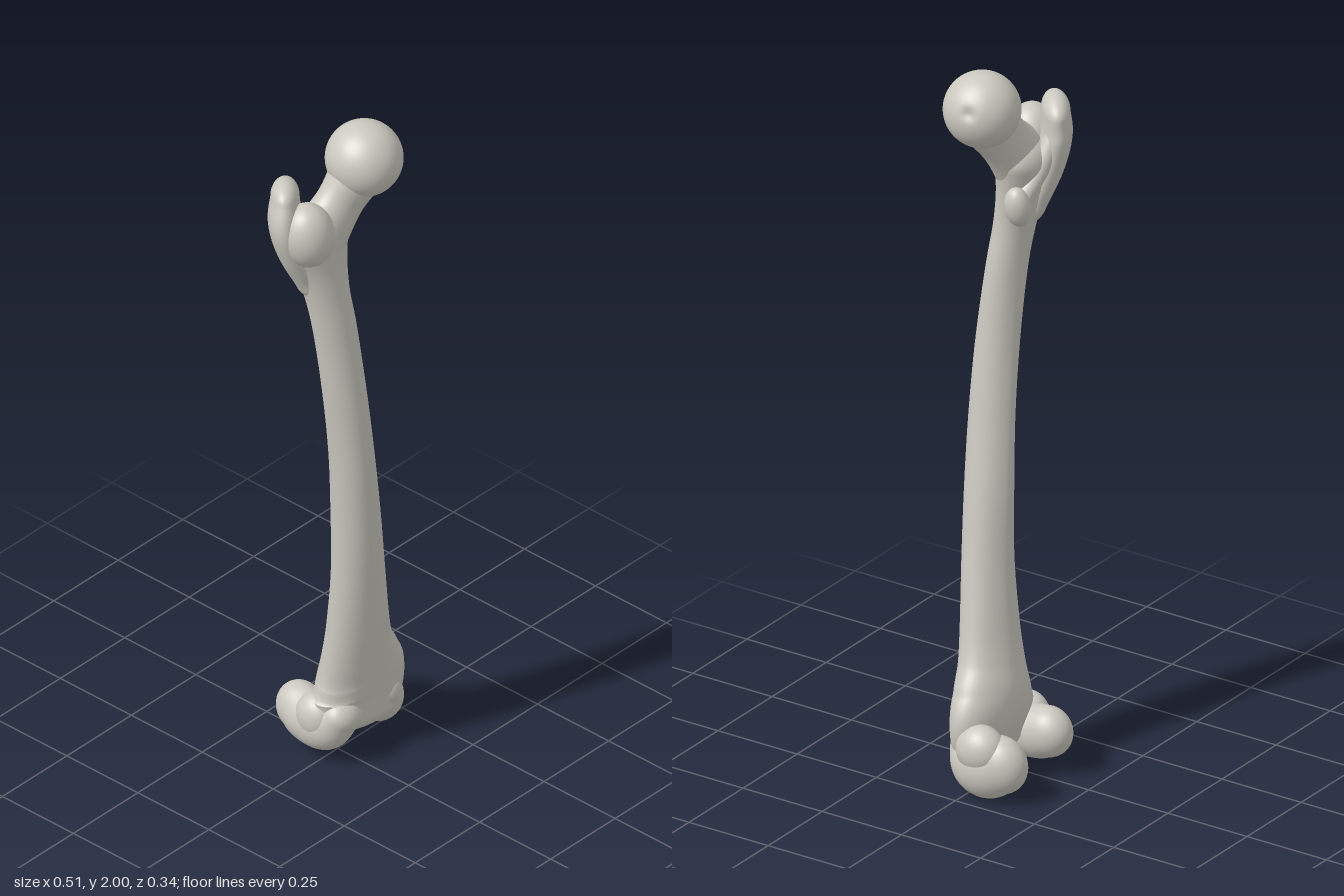
import * as THREE from 'three';

const bone = new THREE.MeshStandardMaterial({ color: 0xcbc9c0 });
bone.name = 'bone';

const V = (x, y, z) => new THREE.Vector3(x, y, z);

// Smooth closed loft. Each section is [x, y, z, a, b]: centre, half-width
// along `side`, and half-width across it. Ends are rounded by cap lengths.
function loft(name, sections, side, capStart, capEnd, bulge = () => 1) {
  const centres = new THREE.CatmullRomCurve3(
    sections.map(s => V(s[0], s[1], s[2])), false, 'catmullrom');
  const radii = new THREE.CatmullRomCurve3(
    sections.map(s => V(s[3], s[4], 0)), false, 'catmullrom');
  const steps = (sections.length - 1) * 8, seg = 48, capSteps = 10;

  const rings = [];
  for (let k = 0; k < capSteps; k++) {
    const p = k / capSteps * Math.PI / 2;
    rings.push([0, -capStart * Math.cos(p), Math.sin(p)]);
  }
  for (let i = 0; i <= steps; i++) rings.push([i / steps, 0, 1]);
  for (let k = capSteps - 1; k >= 0; k--) {
    const p = k / capSteps * Math.PI / 2;
    rings.push([1, capEnd * Math.cos(p), Math.sin(p)]);
  }

  const pos = [], idx = [];
  rings.forEach(([t, shift, scale], i) => {
    const dir = centres.getTangent(t);
    const c = centres.getPoint(t).addScaledVector(dir, shift);
    const r = radii.getPoint(t);
    const u = side.clone().addScaledVector(dir, -side.dot(dir)).normalize();
    const v = dir.clone().cross(u);
    for (let j = 0; j < seg; j++) {
      const a = j / seg * Math.PI * 2, m = scale * bulge(a, t);
      const p = c.clone()
        .addScaledVector(u, r.x * Math.cos(a) * m)
        .addScaledVector(v, r.y * Math.sin(a) * m);
      pos.push(p.x, p.y, p.z);
      if (i === rings.length - 1) continue;
      const p0 = i * seg + j, p1 = i * seg + (j + 1) % seg;
      idx.push(p0, p1, p0 + seg, p1, p1 + seg, p0 + seg);
    }
  });
  const geo = new THREE.BufferGeometry();
  geo.setAttribute('position', new THREE.Float32BufferAttribute(pos, 3));
  geo.setIndex(idx);
  geo.computeVertexNormals();
  const mesh = new THREE.Mesh(geo, bone);
  mesh.name = name;
  return mesh;
}

// Rounded bony bump
function bump(name, centre, radii, tilt = 0) {
  const mesh = new THREE.Mesh(new THREE.SphereGeometry(1, 36, 24), bone);
  mesh.name = name;
  mesh.position.set(...centre);
  mesh.scale.set(...radii);
  mesh.rotation.z = tilt;
  return mesh;
}

// Ball head with a small pit on its inner side
function makeHead() {
  const geo = new THREE.SphereGeometry(0.103, 64, 48);
  const pit = V(0.95, 0.25, -0.2);
  const pos = geo.attributes.position, p = V(0, 0, 0);
  for (let i = 0; i < pos.count; i++) {
    p.fromBufferAttribute(pos, i);
    const angle = p.angleTo(pit);
    p.multiplyScalar(1 - 0.1 * Math.exp(-Math.pow(angle / 0.16, 2)));
    pos.setXYZ(i, p.x, p.y, p.z);
  }
  geo.computeVertexNormals();
  const mesh = new THREE.Mesh(geo, bone);
  mesh.name = 'head';
  mesh.position.set(0.03, 1.897, 0.066);
  return mesh;
}

export function createModel() {
  const group = new THREE.Group();
  group.name = 'thighBone';
  const sideX = V(1, 0, 0), sideZ = V(0, 0, 1);

  // Shaft outline: height, right and left x, back and front z
  const outline = [
    [0.12, -0.09, 0.205, -0.05, 0.085],
    [0.19, -0.092, 0.225, -0.065, 0.088],
    [0.25, -0.078, 0.195, -0.062, 0.094],
    [0.32, -0.068, 0.155, -0.045, 0.101],
    [0.42, -0.065, 0.125, -0.026, 0.111],
    [0.60, -0.066, 0.088, -0.004, 0.126],
    [0.80, -0.075, 0.056, 0.006, 0.136],
    [1.00, -0.091, 0.025, 0.016, 0.140],
    [1.20, -0.115, 0.001, 0.018, 0.134],
    [1.40, -0.140, -0.016, 0.010, 0.115],
    [1.52, -0.158, -0.027, -0.004, 0.100],
    [1.62, -0.182, -0.021, -0.024, 0.092],
    [1.71, -0.215, -0.005, -0.045, 0.094],
  ];
  const sections = outline.map(([y, x0, x1, z0, z1]) =>
    [(x0 + x1) / 2, y, (z0 + z1) / 2, (x1 - x0) / 2, (z1 - z0) / 2]);
  // A low ridge runs down the back of the middle of the shaft
  const ridge = (a, t) => 1 + 0.09 * Math.sin(Math.PI * t) *
    Math.pow(Math.max(0, Math.sin(a)), 14);
  group.add(loft('shaft', sections, sideX, 0.055, 0.07, ridge));

  // Head and neck
  group.add(makeHead());
  group.add(loft('neck', [
    [-0.125, 1.62, 0.030, 0.055, 0.060],
    [-0.105, 1.70, 0.032, 0.062, 0.090],
    [-0.040, 1.785, 0.044, 0.057, 0.075],
    [0.005, 1.85, 0.058, 0.068, 0.080],
  ], sideZ, 0.03, 0.03));

  // Large outer knob: tall crest behind, lower swelling in front
  group.add(loft('greaterTrochanter', [
    [-0.135, 1.58, 0.015, 0.050, 0.035],
    [-0.165, 1.68, -0.005, 0.074, 0.045],
    [-0.183, 1.77, -0.018, 0.086, 0.046],
    [-0.176, 1.84, -0.026, 0.074, 0.038],
  ], V(0.75, 0, -0.65), 0.06, 0.045));
  group.add(bump('frontTubercle', [-0.168, 1.745, 0.048], [0.072, 0.095, 0.070], 0.15));

  // Small inner knob and the ridge joining it to the large one
  group.add(bump('lesserTrochanter', [-0.026, 1.612, -0.008], [0.034, 0.058, 0.036], -0.2));
  group.add(loft('backRidge', [
    [-0.035, 1.62, -0.008, 0.026, 0.026],
    [-0.095, 1.69, -0.025, 0.026, 0.026],
    [-0.150, 1.79, -0.045, 0.028, 0.028],
  ], sideZ, 0.02, 0.02));

  // Knee end: two rolled knuckles with a gap between them at the back
  group.add(loft('outerCondyle', [
    [-0.030, 0.150, 0.045, 0.062, 0.052],
    [-0.045, 0.107, 0.000, 0.064, 0.072],
    [-0.046, 0.105, -0.055, 0.064, 0.075],
    [-0.040, 0.115, -0.095, 0.060, 0.070],
  ], sideX, 0.045, 0.07));
  group.add(loft('innerCondyle', [
    [0.120, 0.150, 0.035, 0.060, 0.052],
    [0.162, 0.093, -0.010, 0.070, 0.077],
    [0.182, 0.088, -0.050, 0.070, 0.085],
    [0.180, 0.105, -0.095, 0.062, 0.080],
  ], sideX, 0.045, 0.075));
  group.add(bump('outerEpicondyle', [-0.068, 0.135, -0.015], [0.046, 0.065, 0.06]));
  group.add(bump('innerEpicondyle', [0.198, 0.142, -0.045], [0.057, 0.068, 0.07]));

  return group;
}
